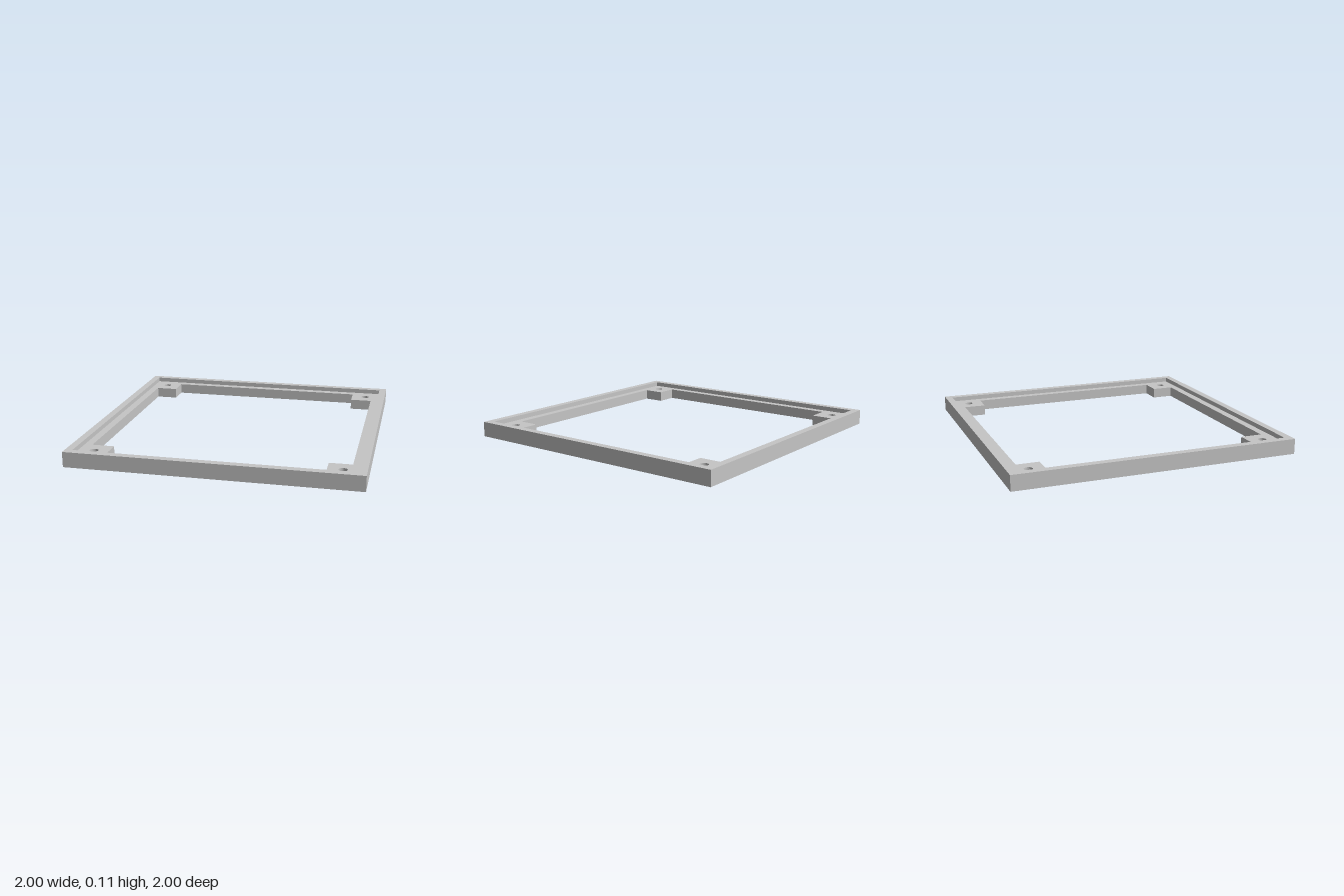
import * as THREE from 'three';

const HEIGHT = 0.107, LEDGE = 0.075;       // overall height, ledge height
const OUTER = 1, RIM = 0.948, INNER = 0.893; // half widths of the square outlines
const TAB = 0.736, HOLE = 0.84, HOLE_R = 0.029;

const polygon = (points, Type) => new Type(points.map(([x, y]) => new THREE.Vector2(x, y)));
const square = (h) => [[-h, -h], [h, -h], [h, h], [-h, h]];

// Extrude a plan outline upwards from height y0 to y1
function slab(name, shape, y0, y1, material) {
  const geometry = new THREE.ExtrudeGeometry(shape, {
    depth: y1 - y0, bevelEnabled: false, curveSegments: 32,
  });
  geometry.rotateX(-Math.PI / 2).translate(0, y0, 0);
  const mesh = new THREE.Mesh(geometry, material);
  mesh.name = name;
  return mesh;
}

export function createModel() {
  const group = new THREE.Group();
  group.name = 'mountingFrame';
  const grey = new THREE.MeshStandardMaterial({ color: 0xc5c5c5 });
  grey.name = 'lightGrey';

  // Lower ledge: square frame whose opening is notched by four corner tabs
  const ledge = polygon(square(OUTER), THREE.Shape);
  const opening = [];
  for (const [sx, sy] of square(1)) {
    const notch = [[TAB, INNER], [TAB, TAB], [INNER, TAB]];
    if (sx * sy < 0) notch.reverse();
    // walk the opening clockwise around the corners
    opening.unshift(...notch.map(([x, y]) => [sx * x, sy * y]));
  }
  ledge.holes.push(polygon(opening, THREE.Path));

  // Screw hole through each tab
  for (const [sx, sy] of square(HOLE)) {
    ledge.holes.push(new THREE.Path().absarc(sx, sy, HOLE_R, 0, Math.PI * 2, true));
  }
  group.add(slab('ledgeWithCornerTabs', ledge, 0, LEDGE, grey));

  // Raised outer rim
  const rim = polygon(square(OUTER), THREE.Shape);
  rim.holes.push(polygon(square(RIM), THREE.Path));
  group.add(slab('outerRim', rim, LEDGE, HEIGHT, grey));

  return group;
}
